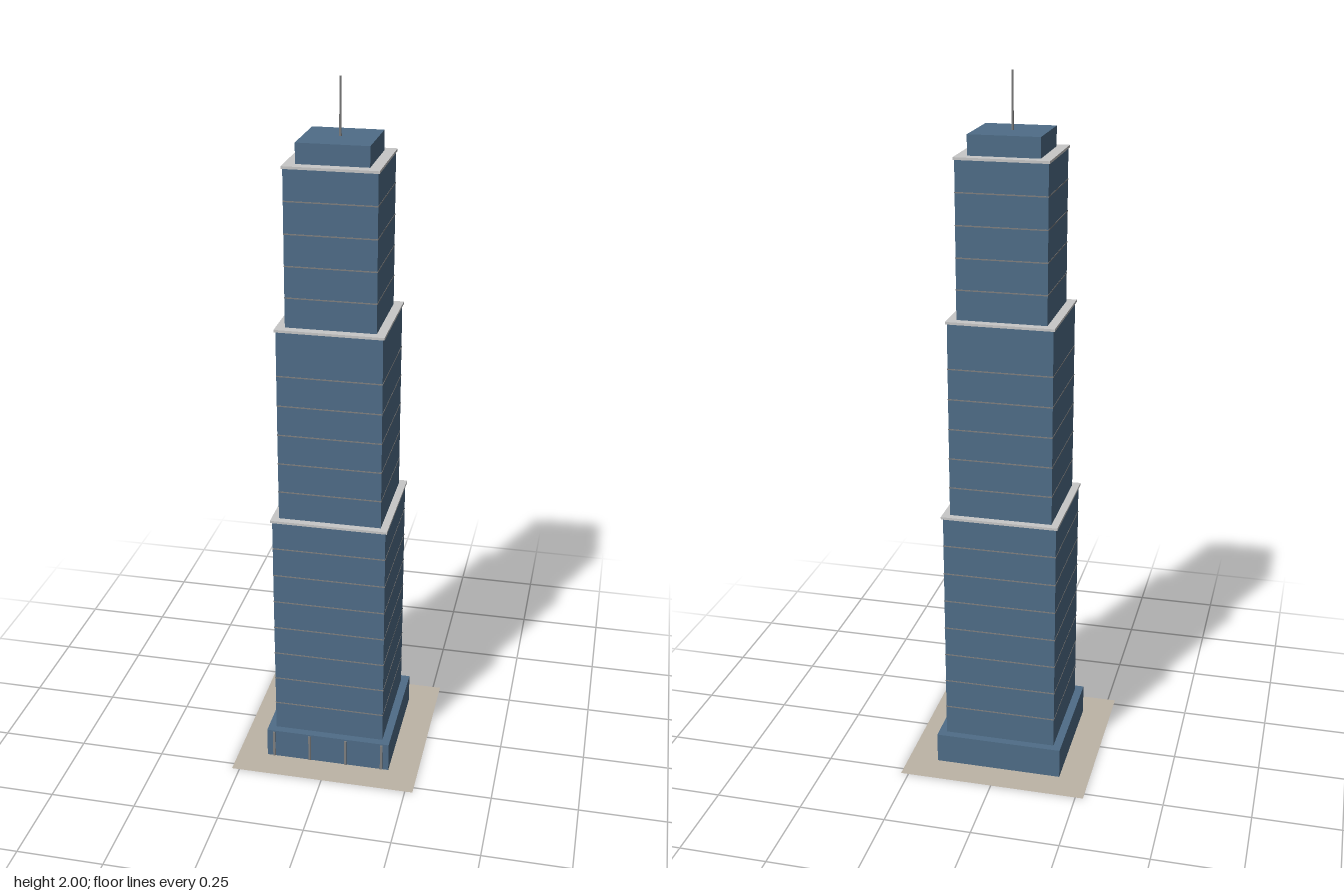
import * as THREE from 'three';

export function createModel() {
  const model = new THREE.Group();
  model.name = 'skyscraper';

  const mat = (name, color) => {
    const m = new THREE.MeshStandardMaterial({ color });
    m.name = name;
    return m;
  };
  const glass = mat('blue glass', 0x4f6d88);
  const stone = mat('pale grey stone', 0xc8c8c8);
  const trim = mat('grey trim', 0x808080);
  const paving = mat('tan paving', 0xbdb4a6);
  paving.side = THREE.DoubleSide;

  const add = (name, geometry, material, x, y, z) => {
    const mesh = new THREE.Mesh(geometry, material);
    mesh.name = name;
    mesh.position.set(x, y, z);
    model.add(mesh);
    return mesh;
  };
  // Square block given by half width and its bottom and top heights
  const block = (name, half, y0, y1, material) =>
    add(name, new THREE.BoxGeometry(half * 2, y1 - y0, half * 2), material, 0, (y0 + y1) / 2, 0);

  // Flat plaza and entrance podium
  const plaza = add('plaza', new THREE.PlaneGeometry(0.545, 0.545), paving, 0, 0, 0);
  plaza.rotation.x = -Math.PI / 2;
  block('podium', 0.185, 0.001, 0.09, glass);

  // Entrance mullions on the front of the podium
  for (let i = 0; i < 4; i++) {
    add('entranceMullion', new THREE.BoxGeometry(0.007, 0.084, 0.006), trim,
      -0.1635 + i * 0.109, 0.044, 0.186);
  }

  // Stepped tower tiers, each with thin floor bands and a projecting ledge
  const floor = 0.087;
  const tiers = [
    { half: 0.162, y0: 0.09, y1: 0.786, bands: 7, ledge: 0.167 },
    { half: 0.146, y0: 0.786, y1: 1.351, bands: 5, ledge: 0.15 },
    { half: 0.125, y0: 1.351, y1: 1.787, bands: 4, ledge: 0.1285 },
  ];
  tiers.forEach(({ half, y0, y1, bands, ledge }) => {
    block('towerTier', half, y0, y1, glass);
    for (let i = 1; i <= bands; i++) {
      const y = y0 + i * floor;
      block('floorBand', half + 0.0008, y - 0.0017, y + 0.0017, trim);
    }
    block('ledge', ledge, y1 - 0.003, y1 + 0.004, stone);
  });

  // Crown box and antenna
  block('crown', 0.098, 1.787, 1.846, glass);
  add('antenna', new THREE.CylinderGeometry(0.0025, 0.0035, 0.154, 8), trim, 0, 1.923, 0);

  return model;
}
